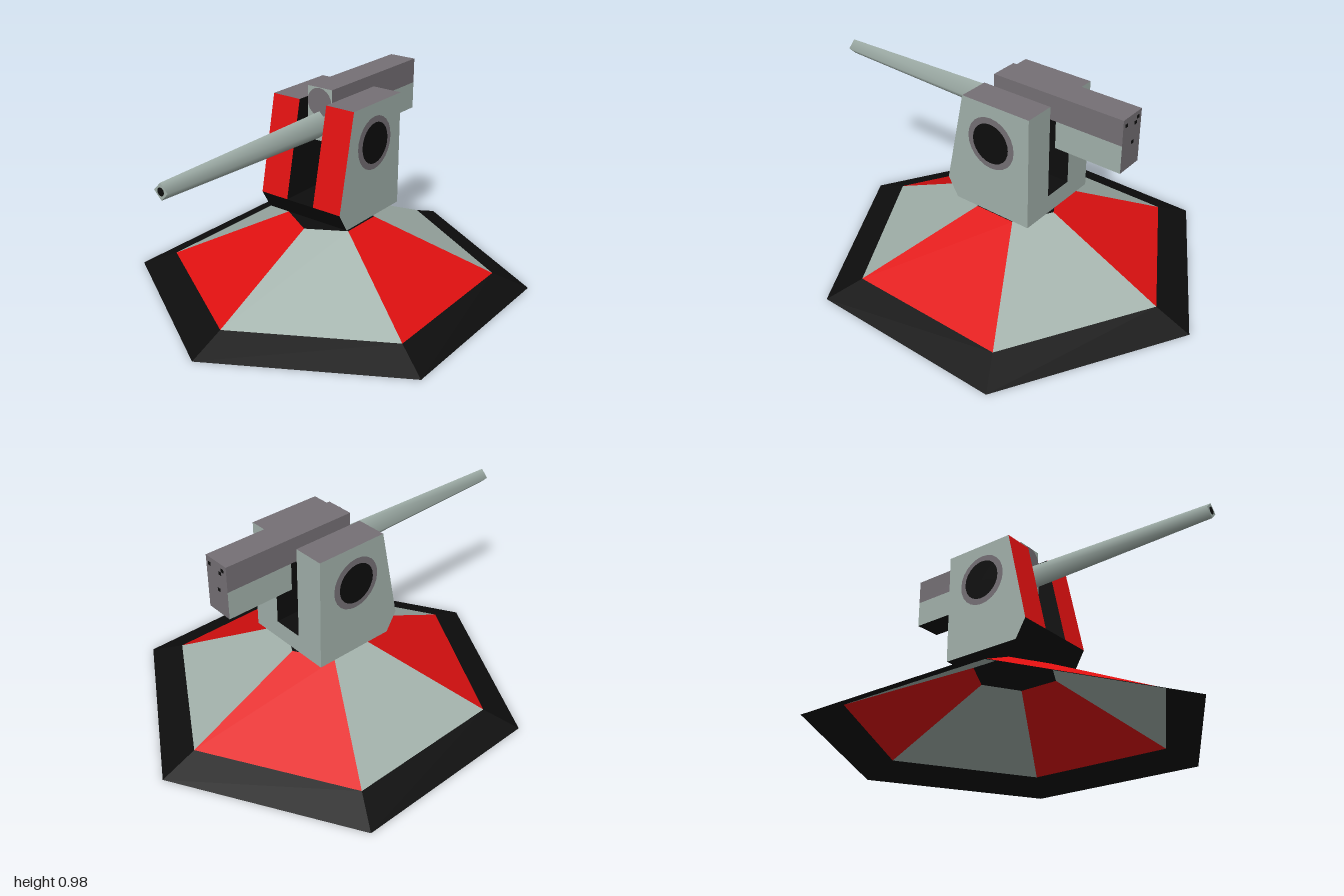
import * as THREE from 'three';

const mat = (name, color) => new THREE.MeshStandardMaterial({ name, color, side: THREE.DoubleSide });

// Prism along x from a side profile of [z, y] points (counter-clockwise seen from +x),
// with one material per profile edge and one for each end.
function prism(name, profile, x0, x1, edgeMats, endMat0, endMat1) {
  const pos = [], mats = [], geo = new THREE.BufferGeometry();
  const face = (pts, m) => {
    const start = pos.length / 3;
    for (let i = 1; i < pts.length - 1; i++) pos.push(...pts[0], ...pts[i], ...pts[i + 1]);
    if (!mats.includes(m)) mats.push(m);
    geo.addGroup(start, pos.length / 3 - start, mats.indexOf(m));
  };
  const at = (x, [z, y]) => [x, y, z];
  profile.forEach((a, i) => {
    const b = profile[(i + 1) % profile.length];
    face([at(x1, a), at(x0, a), at(x0, b), at(x1, b)], edgeMats[i]);
  });
  face(profile.map(p => at(x1, p)), endMat1);
  face(profile.map(p => at(x0, p)).reverse(), endMat0);
  geo.setAttribute('position', new THREE.Float32BufferAttribute(pos, 3));
  geo.computeVertexNormals();
  const mesh = new THREE.Mesh(geo, mats);
  mesh.name = name;
  return mesh;
}

const box = (z0, z1, y0, y1) => [[z1, y0], [z0, y0], [z0, y1], [z1, y1]];

export function createModel() {
  const red = mat('red', 0xe01010);
  const pale = mat('paleGrey', 0xa2b1ab);
  const grey = mat('darkGrey', 0x757075);
  const black = mat('black', 0x0d0d0d);

  const model = new THREE.Group();
  const add = (parent, name, geo, m) => {
    const mesh = new THREE.Mesh(geo, m);
    mesh.name = name;
    parent.add(mesh);
    return mesh;
  };

  // Hollow six-sided base: black rim, alternating panels, black top
  const base = new THREE.Group();
  base.name = 'base';
  base.position.z = -0.05;
  model.add(base);
  const ring = (rTop, rBottom, y0, y1, start, segments, length) => {
    const g = new THREE.CylinderGeometry(rTop, rBottom, y1 - y0, segments, 1, true, start, length).toNonIndexed();
    g.translate(0, (y0 + y1) / 2, 0);
    g.computeVertexNormals();
    return g;
  };
  add(base, 'baseRim', ring(0.777, 0.95, 0, 0.068, 0, 6, Math.PI * 2), black);
  for (let i = 0; i < 6; i++) {
    add(base, 'basePanel', ring(0.205, 0.777, 0.068, 0.33, i * Math.PI / 3, 1, Math.PI / 3), i % 2 ? red : pale);
  }
  const top = add(base, 'baseTop', new THREE.CircleGeometry(0.205, 6, Math.PI / 6 * 3), black);
  top.rotation.x = -Math.PI / 2;
  top.position.y = 0.33;

  // Yoke: lower block and two arms
  const yoke = new THREE.Group();
  yoke.name = 'yoke';
  model.add(yoke);
  const block = [[0.13, 0.377], [-0.275, 0.377], [-0.275, 0.467], [0.183, 0.467]];
  yoke.add(prism('yokeBlock', block, -0.225, 0.225, [black, pale, black, black], pale, pale));
  const arm = [[0.183, 0.467], [-0.275, 0.467], [-0.275, 0.922], [0.085, 0.922]];
  const armMats = [black, pale, grey, red];
  yoke.add(prism('leftArm', arm, 0.075, 0.225, armMats, black, pale));
  yoke.add(prism('rightArm', arm, -0.225, -0.075, armMats, pale, black));

  // Round pivots painted on the outer sides
  for (const s of [-1, 1]) {
    [['pivotRing', 0.126, 0.227, grey], ['pivotHub', 0.097, 0.23, black]].forEach(([name, r, x, m]) => {
      const disc = add(yoke, name, new THREE.CircleGeometry(r, 24), m);
      disc.rotation.y = s * Math.PI / 2;
      disc.position.set(s * x, 0.737, -0.072);
    });
  }

  // Breech: dark upper half, pale lower half with a black front part
  const breech = new THREE.Group();
  breech.name = 'breech';
  model.add(breech);
  const w = 0.068;
  breech.add(prism('breechTop', box(-0.63, 0.035, 0.857, 0.977), -w, w, [black, grey, grey, pale], grey, grey));
  breech.add(prism('breechRear', box(-0.63, -0.3, 0.726, 0.857), -w, w, [black, grey, grey, black], pale, pale));
  breech.add(prism('breechFront', box(-0.3, 0.035, 0.726, 0.857), -w, w, [black, black, grey, pale], black, black));
  add(breech, 'breechDisc', new THREE.CircleGeometry(0.067, 20), grey).position.set(0, 0.909, 0.038);
  for (const [x, y] of [[0.045, 0.945], [-0.025, 0.93], [-0.042, 0.95], [-0.01, 0.845]]) {
    add(breech, 'rearVent', new THREE.BoxGeometry(0.015, 0.015, 0.004), black).position.set(x, y, -0.63);
  }

  // Tapered four-sided barrel with smooth shading
  const barrel = add(model, 'barrel', new THREE.CylinderGeometry(0.037, 0.063, 0.967, 4), pale);
  barrel.rotation.x = Math.PI / 2;
  barrel.position.set(0, 0.805, 0.5155);
  add(model, 'muzzleHole', new THREE.CircleGeometry(0.018, 12), black).position.set(0, 0.805, 1);

  return model;
}
